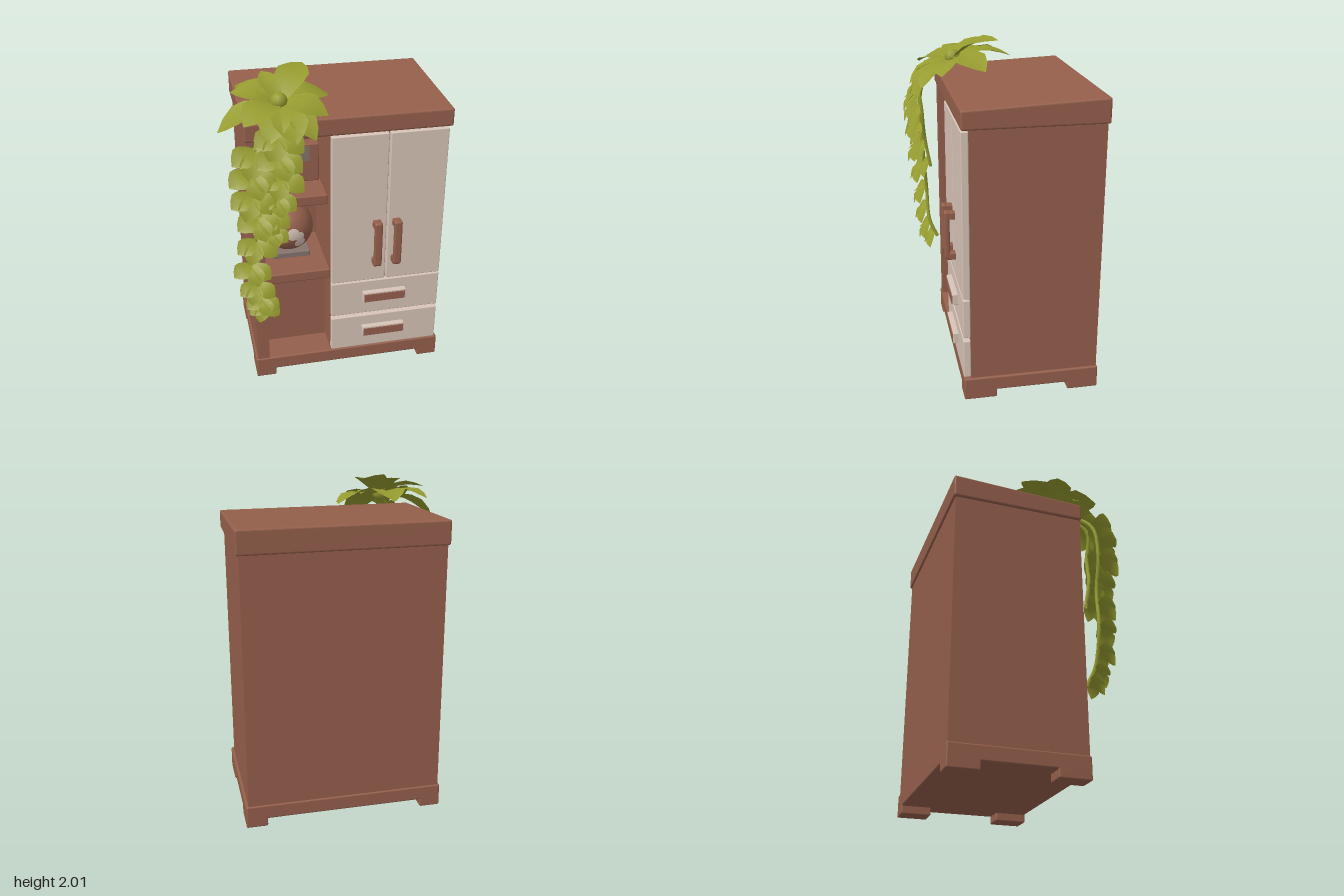
import * as THREE from 'three';
import { RoundedBoxGeometry } from 'three/addons/geometries/RoundedBoxGeometry.js';

const mat = (name, color, side = THREE.FrontSide) => {
  const m = new THREE.MeshStandardMaterial({ color, side });
  m.name = name;
  return m;
};

export function createModel() {
  const root = new THREE.Group();
  root.name = 'cabinetWithPlant';
  const wood = mat('wood', 0x945f4b);
  const cream = mat('cream', 0xd8c4b7);
  const grey = mat('grey', 0x85746c);
  const green = mat('leafGreen', 0x959b2f, THREE.DoubleSide);

  const add = (name, geo, material, parent = root) => {
    const m = new THREE.Mesh(geo, material);
    m.name = name;
    parent.add(m);
    return m;
  };
  // Box given by its limits on each axis, with optional rounded edges
  const box = (name, material, x0, x1, y0, y1, z0, z1, r = 0) => {
    const [w, h, d] = [x1 - x0, y1 - y0, z1 - z0];
    const geo = r ? new RoundedBoxGeometry(w, h, d, 2, r) : new THREE.BoxGeometry(w, h, d);
    geo.translate((x0 + x1) / 2, (y0 + y1) / 2, (z0 + z1) / 2);
    return add(name, geo, material);
  };

  // Carcass around the open shelves on the left
  box('rightCarcass', wood, -0.05, 0.66, 0.1, 1.7, -0.52, 0.25);
  box('backCarcass', wood, -0.53, -0.05, 0.1, 1.7, -0.52, -0.2);
  box('sideWall', wood, -0.53, -0.455, 0.1, 1.7, -0.2, 0.285);
  box('lowerBackPanel', wood, -0.455, -0.05, 0.1, 0.72, -0.2, 0.1);
  box('counter', wood, -0.455, -0.052, 0.7, 0.765, -0.2, 0.275, 0.008);
  box('upperShelf', wood, -0.455, -0.052, 1.185, 1.25, -0.2, 0.2, 0.008);

  // Base plinth and four feet
  box('plinth', wood, -0.542, 0.675, 0.05, 0.14, -0.528, 0.292, 0.01);
  for (const [x0, x1] of [[-0.542, -0.415], [0.545, 0.675]])
    for (const [z0, z1] of [[-0.528, -0.34], [0.095, 0.292]])
      box('foot', wood, x0, x1, 0, 0.1, z0, z1, 0.008);

  // Top slab, its upper face rising toward the back
  const top = box('topSlab', wood, -0.545, 0.678, 1.67, 1.78, -0.533, 0.294, 0.012);
  const p = top.geometry.attributes.position;
  for (let i = 0; i < p.count; i++)
    if (p.getY(i) > 1.72) p.setY(i, p.getY(i) + 0.036 * (0.294 - p.getZ(i)) / 0.827);
  top.geometry.computeVertexNormals();

  // Doors and drawers
  box('leftDoor', cream, -0.048, 0.294, 0.664, 1.66, 0.25, 0.293, 0.006);
  box('rightDoor', cream, 0.304, 0.656, 0.664, 1.66, 0.25, 0.293, 0.006);
  for (const y of [0.146, 0.412]) {
    box('drawer', cream, -0.048, 0.656, y, y + 0.244, 0.25, 0.293, 0.006);
    box('drawerHandle', cream, 0.152, 0.432, y + 0.1, y + 0.172, 0.285, 0.325, 0.005);
    box('drawerHandleFace', wood, 0.16, 0.424, y + 0.107, y + 0.16, 0.322, 0.33);
  }
  for (const x of [0.232, 0.355]) {
    box('doorHandle', wood, x - 0.025, x + 0.025, 0.8, 1.1, 0.325, 0.358, 0.012);
    for (const y of [0.79, 1.05])
      box('doorHandlePost', wood, x - 0.025, x + 0.025, y, y + 0.045, 0.285, 0.345, 0.008);
  }

  // Globe with pale patches on a small stand
  box('globeStand', grey, -0.385, -0.145, 0.76, 0.802, -0.12, 0.09, 0.006);
  const globe = new THREE.Group();
  globe.name = 'globe';
  globe.position.set(-0.267, 0.947, -0.02);
  root.add(globe);
  add('globeBall', new THREE.SphereGeometry(0.16, 32, 20), wood, globe);
  for (const [x, y, z, a] of [[0.01, 0.01, 0.16, 0.26], [0.055, -0.062, 0.14, 0.23], [0.05, -0.01, 0.15, 0.2]]) {
    const patch = add('globePatch', new THREE.SphereGeometry(0.162, 14, 4, 0, Math.PI * 2, 0, a), cream, globe);
    patch.quaternion.setFromUnitVectors(new THREE.Vector3(0, 1, 0), new THREE.Vector3(x, y, z).normalize());
  }

  // Boxed pictures on the upper shelf
  box('largeFrame', wood, -0.43, -0.25, 1.25, 1.53, -0.02, 0.1, 0.008);
  box('largePicture', grey, -0.42, -0.257, 1.265, 1.52, 0.097, 0.104);
  box('smallFrame', wood, -0.22, -0.065, 1.25, 1.5, -0.08, 0, 0.008);
  box('smallPicture', grey, -0.205, -0.125, 1.39, 1.485, -0.003, 0.004);

  // Plant: folded, arched leaves from base to tip
  const plant = new THREE.Group();
  plant.name = 'trailingPlant';
  root.add(plant);
  const V = (a) => new THREE.Vector3(...a);
  const stations = [[0, 0.15], [0.2, 0.6], [0.45, 0.95], [0.65, 1], [0.85, 0.6], [1, 0.04]];
  const leaf = (name, base, tip, width, facing) => {
    const dir = tip.clone().sub(base);
    const len = dir.length();
    const side = dir.clone().cross(facing).normalize();
    const up = side.clone().cross(dir).normalize();
    const pos = [], idx = [];
    stations.forEach(([t, w], i) => {
      for (const s of [-1, 0, 1]) {
        const v = base.clone().addScaledVector(dir, t)
          .addScaledVector(side, s * w * width / 2)
          .addScaledVector(up, Math.sin(Math.PI * t) * len * 0.12 + Math.abs(s) * w * width * 0.1);
        pos.push(v.x, v.y, v.z);
      }
      if (i) for (const k of [0, 1]) {
        const a = (i - 1) * 3 + k, b = a + 3;
        idx.push(a, a + 1, b, a + 1, b + 1, b);
      }
    });
    const geo = new THREE.BufferGeometry();
    geo.setAttribute('position', new THREE.Float32BufferAttribute(pos, 3));
    geo.setIndex(idx);
    geo.computeVertexNormals();
    add(name, geo, green, plant);
  };

  // Rosette on top of the cabinet
  const heart = V([-0.33, 1.85, 0.2]);
  const bud = add('rosetteBud', new THREE.SphereGeometry(0.05, 10, 8), green, plant);
  bud.position.copy(heart).y += 0.02;
  for (const [x, y, z, w] of [
    [-0.32, 1.87, -0.17, 0.2], [-0.15, 1.995, -0.06, 0.19], [-0.02, 1.83, 0.04, 0.2],
    [-0.54, 1.87, -0.1, 0.17], [-0.4, 1.98, 0.0, 0.12], [-0.59, 1.91, 0.12, 0.17],
    [-0.55, 1.81, 0.39, 0.2], [-0.28, 1.72, 0.48, 0.2], [-0.07, 1.8, 0.3, 0.2],
    [-0.16, 1.71, 0.42, 0.17], [-0.68, 1.7, 0.18, 0.18], [-0.42, 1.73, 0.46, 0.18],
    [-0.18, 1.88, 0.1, 0.16], [-0.45, 1.93, 0.1, 0.14]])
    leaf('rosetteLeaf', heart, V([x, y, z]), w, V([0, 1, 0.25]));

  // Hanging vines with leaves to alternating sides
  const vines = [
    [9, [[-0.36, 1.82, 0.25], [-0.5, 1.66, 0.38], [-0.53, 1.45, 0.4], [-0.5, 1.2, 0.39], [-0.55, 0.92, 0.37], [-0.5, 0.7, 0.36], [-0.48, 0.58, 0.31]]],
    [6, [[-0.33, 1.82, 0.25], [-0.38, 1.7, 0.4], [-0.36, 1.5, 0.4], [-0.42, 1.3, 0.38], [-0.42, 1.12, 0.35]]],
  ];
  for (const [n, pts] of vines) {
    const curve = new THREE.CatmullRomCurve3(pts.map(V));
    add('vineStem', new THREE.TubeGeometry(curve, 40, 0.012, 6), green, plant);
    for (let i = 0; i < n; i++) {
      const t = 0.16 + 0.8 * i / (n - 1);
      const size = 1.1 - 0.42 * t;
      const base = curve.getPoint(t);
      for (const s of [-1, 1]) {
        const drop = s > 0 ? -0.08 : -0.035;
        const tip = base.clone().add(V([s * 0.13 * size, drop * size - 0.02, 0.07 * size]));
        leaf('vineLeaf', base, tip, 0.13 * size, V([s * 0.15, 0.6, 0.8]));
      }
      const front = base.clone().add(V([(i % 2 ? 0.04 : -0.05) * size, -0.13 * size, 0.11 * size]));
      leaf('vineLeaf', base, front, 0.13 * size, V([0, 0.5, 0.9]));
    }
  }
  return root;
}
